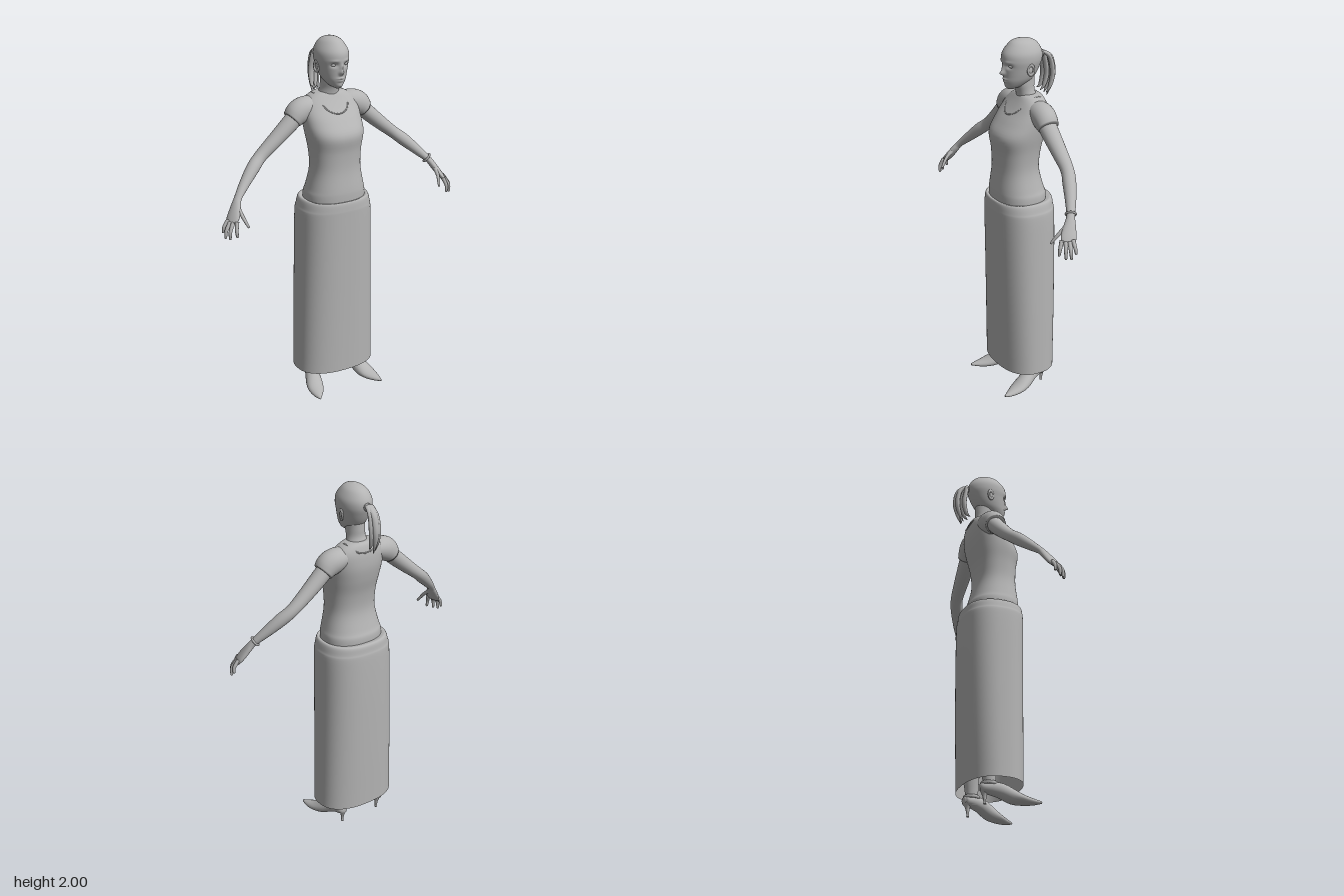
import * as THREE from 'three';

const grey = new THREE.MeshStandardMaterial({ color: 0xb4b4b4, side: THREE.DoubleSide });
grey.name = 'plain grey';

// Smooth skin through cross-sections [x, y, z, halfWidth, halfThickness].
// "wide" is the direction of the width; "level" keeps the sections horizontal.
function sweep(name, rows, { wide = [1, 0, 0], level = false, seg = 20, steps = 5, power = 2, caps = true, warp } = {}) {
  const path = new THREE.CatmullRomCurve3(rows.map(r => new THREE.Vector3(r[0], r[1], r[2])), false, 'catmullrom', 0.5);
  const size = new THREE.CatmullRomCurve3(rows.map(r => new THREE.Vector3(r[3], r[4], 0)), false, 'catmullrom', 0.5);
  const n = (rows.length - 1) * steps, pos = [], index = [];
  const round = v => Math.sign(v) * Math.abs(v) ** (2 / power);
  for (let i = 0; i <= n; i++) {
    const c = path.getPoint(i / n), s = size.getPoint(i / n);
    const t = level ? new THREE.Vector3(0, 1, 0) : path.getTangent(i / n);
    const w = new THREE.Vector3(...wide).addScaledVector(t, -t.dot(new THREE.Vector3(...wide))).normalize();
    const d = new THREE.Vector3().crossVectors(t, w);
    for (let j = 0; j < seg; j++) {
      const a = j / seg * Math.PI * 2;
      const p = c.clone().addScaledVector(w, s.x * round(Math.cos(a))).addScaledVector(d, s.y * round(Math.sin(a)));
      if (warp) warp(p);
      pos.push(p.x, p.y, p.z);
      if (i < n) {
        const k = (j + 1) % seg, a0 = i * seg + j, b0 = i * seg + k;
        index.push(a0, b0, b0 + seg, a0, b0 + seg, a0 + seg);
      }
    }
  }
  if (caps) {
    const first = pos.length / 3;
    for (const t of [0, 1]) pos.push(...path.getPoint(t).toArray());
    for (let j = 0; j < seg; j++) {
      const k = (j + 1) % seg;
      index.push(first, k, j, first + 1, n * seg + j, n * seg + k);
    }
  }
  const g = new THREE.BufferGeometry();
  g.setAttribute('position', new THREE.Float32BufferAttribute(pos, 3));
  g.setIndex(index);
  g.computeVertexNormals();
  return part(name, g);
}

function part(name, geometry, position = [0, 0, 0], scale = [1, 1, 1]) {
  const m = new THREE.Mesh(geometry, grey);
  m.name = name;
  m.position.set(...position);
  m.scale.set(...scale);
  return m;
}

// Upright body section: [y, halfWidth, frontZ, backZ]
const upright = rows => rows.map(([y, w, f, b]) => [0, y, (f + b) / 2, w, (f - b) / 2]);

function tube(name, points, radius, closed = false) {
  const curve = new THREE.CatmullRomCurve3(points.map(p => new THREE.Vector3(...p)), closed);
  return part(name, new THREE.TubeGeometry(curve, 48, radius, 6, closed));
}

// Soft face features: [x, y, spreadX, spreadY, depth]
const features = [
  [0, 1.826, 0.011, 0.013, 0.024], [0, 1.85, 0.008, 0.02, 0.012],
  [0.034, 1.866, 0.016, 0.011, -0.014], [-0.034, 1.866, 0.016, 0.011, -0.014],
  [0.035, 1.888, 0.02, 0.006, 0.004], [-0.035, 1.888, 0.02, 0.006, 0.004],
  [0, 1.793, 0.018, 0.005, 0.008], [0, 1.78, 0.015, 0.005, 0.007],
  [0, 1.752, 0.018, 0.012, 0.005],
];
function sculptFace(p) {
  if (p.z < 0.02) return;
  let dz = 0;
  for (const [x, y, sx, sy, d] of features) dz += d * Math.exp(-(((p.x - x) / sx) ** 2) - ((p.y - y) / sy) ** 2);
  p.z += dz;
}

function head() {
  const g = new THREE.Group();
  g.name = 'head';
  g.add(sweep('skull', upright([
    [1.735, 0.012, 0.066, 0.03], [1.75, 0.036, 0.078, -0.02], [1.78, 0.058, 0.088, -0.07],
    [1.81, 0.07, 0.09, -0.095], [1.85, 0.08, 0.093, -0.115], [1.89, 0.087, 0.098, -0.128],
    [1.93, 0.083, 0.092, -0.125], [1.97, 0.06, 0.062, -0.1], [1.99, 0.035, 0.035, -0.065], [2.0, 0.004, -0.01, -0.02],
  ]), { level: true, seg: 96, steps: 8, warp: sculptFace }));
  g.add(sweep('neck', upright([
    [1.64, 0.075, 0.02, -0.115], [1.68, 0.062, 0.01, -0.1], [1.72, 0.051, 0.016, -0.085], [1.76, 0.05, 0.03, -0.085], [1.8, 0.05, 0.03, -0.085],
  ]), { level: true, seg: 32 }));
  for (const s of [1, -1]) {
    g.add(part('eye', new THREE.SphereGeometry(0.014, 16, 12), [s * 0.034, 1.865, 0.068], [1.1, 0.6, 0.9]));
    const ear = part('ear', new THREE.TorusGeometry(0.016, 0.006, 8, 20), [s * 0.083, 1.845, -0.022], [1, 1.6, 1]);
    ear.rotation.y = s * 1.25;
    const inner = part('innerEar', new THREE.SphereGeometry(0.015, 12, 10), [s * 0.079, 1.843, -0.02], [0.4, 1.5, 1]);
    g.add(ear, inner);
  }
  return g;
}

// Tied hair made of overlapping flat locks
function ponytail() {
  const g = new THREE.Group();
  g.name = 'ponytail';
  [[-0.034, -0.165, 1.7], [-0.018, -0.2, 1.67], [0.0, -0.207, 1.66], [0.016, -0.195, 1.68], [-0.008, -0.172, 1.69]].forEach(([x, z, end]) =>
    g.add(sweep('lock', [
      [0, 1.895, -0.115, 0.01, 0.01], [x * 0.4, 1.905, -0.145, 0.015, 0.01], [x * 0.8, 1.87, z * 0.95 + 0.005, 0.018, 0.012],
      [x, 1.79, z, 0.018, 0.013], [x - 0.004, 1.72, z + 0.012, 0.012, 0.01], [x - 0.01, end, z + 0.032, 0.002, 0.002],
    ], { seg: 10 })));
  const band = part('hairBand', new THREE.TorusGeometry(0.016, 0.006, 8, 20), [0, 1.9, -0.133]);
  g.add(band);
  return g;
}

// Left arm; mirrored for the right
function arm() {
  const g = new THREE.Group();
  g.name = 'arm';
  g.add(sweep('sleeve', [
    [0.08, 1.63, -0.05, 0.06, 0.05], [0.14, 1.62, -0.05, 0.066, 0.064], [0.185, 1.6, -0.047, 0.064, 0.066], [0.219, 1.57, -0.046, 0.058, 0.052],
  ], { wide: [0, 0, 1], seg: 28 }));
  g.add(sweep('bareArm', [
    [0.19, 1.59, -0.046, 0.05, 0.044], [0.25, 1.535, -0.046, 0.047, 0.043], [0.33, 1.467, -0.046, 0.041, 0.038],
    [0.41, 1.402, -0.042, 0.035, 0.033], [0.47, 1.352, -0.018, 0.035, 0.034], [0.54, 1.287, 0.018, 0.028, 0.026],
    [0.592, 1.235, 0.05, 0.022, 0.018], [0.612, 1.205, 0.066, 0.029, 0.018], [0.642, 1.155, 0.092, 0.04, 0.016], [0.662, 1.125, 0.106, 0.034, 0.011],
  ], { wide: [-0.35, 0, 1], seg: 24 }));
  const fingers = [
    [[0.64, 1.14, 0.131], [0.652, 1.1, 0.148], [0.65, 1.066, 0.152]],
    [[0.655, 1.135, 0.117], [0.679, 1.095, 0.131], [0.682, 1.056, 0.132]],
    [[0.664, 1.135, 0.1], [0.692, 1.095, 0.11], [0.697, 1.056, 0.109]],
    [[0.667, 1.142, 0.083], [0.693, 1.107, 0.085], [0.698, 1.078, 0.082]],
    [[0.61, 1.2, 0.082], [0.606, 1.16, 0.128], [0.592, 1.115, 0.163]],
  ];
  for (const [a, b, c] of fingers) {
    const tip = c.map((v, i) => v + (c[i] - b[i]) * 0.1);
    g.add(sweep('finger', [[...a, 0.012, 0.011], [...b, 0.0095, 0.0095], [...c, 0.0065, 0.0065], [...tip, 0.002, 0.002]], { wide: [0, 0, 1], seg: 10 }));
  }
  return g;
}

// Left leg with pointed heeled shoe; mirrored for the right
function leg() {
  const g = new THREE.Group();
  g.name = 'leg';
  g.add(sweep('shin', [
    [0.125, 0.06, -0.045, 0.028, 0.035], [0.125, 0.13, -0.05, 0.031, 0.035], [0.12, 0.3, -0.055, 0.048, 0.052],
    [0.115, 0.5, -0.03, 0.05, 0.054], [0.105, 0.75, -0.015, 0.07, 0.075], [0.095, 1.0, 0, 0.08, 0.09],
  ], { level: true }));
  g.add(sweep('shoe', [
    [0.117, 0.083, -0.098, 0.012, 0.018], [0.121, 0.084, -0.083, 0.031, 0.027], [0.128, 0.083, -0.04, 0.035, 0.035], [0.141, 0.072, 0.01, 0.038, 0.04],
    [0.158, 0.042, 0.065, 0.046, 0.037], [0.174, 0.026, 0.115, 0.044, 0.025], [0.189, 0.018, 0.165, 0.027, 0.016], [0.2, 0.017, 0.208, 0.006, 0.006],
  ]));
  g.add(sweep('heel', [
    [0.121, 0.075, -0.076, 0.024, 0.022], [0.121, 0.045, -0.074, 0.011, 0.012], [0.121, 0.015, -0.072, 0.007, 0.007], [0.121, 0, -0.072, 0.008, 0.008],
  ], { seg: 12 }));
  const strap = part('ankleStrap', new THREE.TorusGeometry(0.036, 0.006, 8, 28), [0.126, 0.108, -0.05], [1, 1.1, 1.6]);
  strap.rotation.x = Math.PI / 2;
  g.add(strap);
  return g;
}

export function createModel() {
  const model = new THREE.Group();
  model.name = 'womanInLongSkirt';
  model.add(head(), ponytail());

  // Shirt with its neckline
  model.add(sweep('shirt', upright([
    [1.1, 0.17, 0.15, -0.125], [1.16, 0.168, 0.152, -0.125], [1.2, 0.158, 0.15, -0.112], [1.3, 0.139, 0.14, -0.09],
    [1.4, 0.143, 0.143, -0.098], [1.49, 0.157, 0.153, -0.12], [1.56, 0.162, 0.11, -0.132], [1.62, 0.16, 0.06, -0.132],
    [1.66, 0.142, 0.03, -0.126], [1.69, 0.1, 0.01, -0.115], [1.702, 0.06, 0, -0.1],
  ]), { level: true, seg: 64, power: 2.3 }));
  model.add(tube('neckline', [
    [0, 1.6, 0.076], [0.05, 1.613, 0.06], [0.078, 1.65, 0.024], [0.085, 1.69, -0.03], [0.082, 1.69, -0.085], [0.05, 1.66, -0.123],
    [0, 1.65, -0.128], [-0.05, 1.66, -0.123], [-0.082, 1.69, -0.085], [-0.085, 1.69, -0.03], [-0.078, 1.65, 0.024], [-0.05, 1.613, 0.06],
  ], 0.004, true));

  // Long open skirt, with a ledge at the waist
  model.add(sweep('skirt', upright([
    [1.13, 0.165, 0.148, -0.12], [1.131, 0.187, 0.166, -0.155], [1.09, 0.2, 0.171, -0.163], [1.04, 0.208, 0.171, -0.168], [0.8, 0.214, 0.167, -0.169],
    [0.45, 0.222, 0.161, -0.164], [0.12, 0.229, 0.156, -0.156],
  ]).reverse(), { level: true, seg: 64, power: 2.4, caps: false }));

  // Limbs, mirrored
  for (const s of [1, -1]) {
    const a = arm(), l = leg();
    a.scale.x = l.scale.x = s;
    a.name = s > 0 ? 'leftArm' : 'rightArm';
    l.name = s > 0 ? 'leftLeg' : 'rightLeg';
    model.add(a, l);
  }

  // Bracelet on the left wrist
  const bracelet = part('bracelet', new THREE.TorusGeometry(0.025, 0.006, 8, 28), [0.585, 1.243, 0.045]);
  bracelet.quaternion.setFromUnitVectors(new THREE.Vector3(0, 0, 1), new THREE.Vector3(0.65, -0.65, 0.4).normalize());
  model.add(bracelet);
  return model;
}
